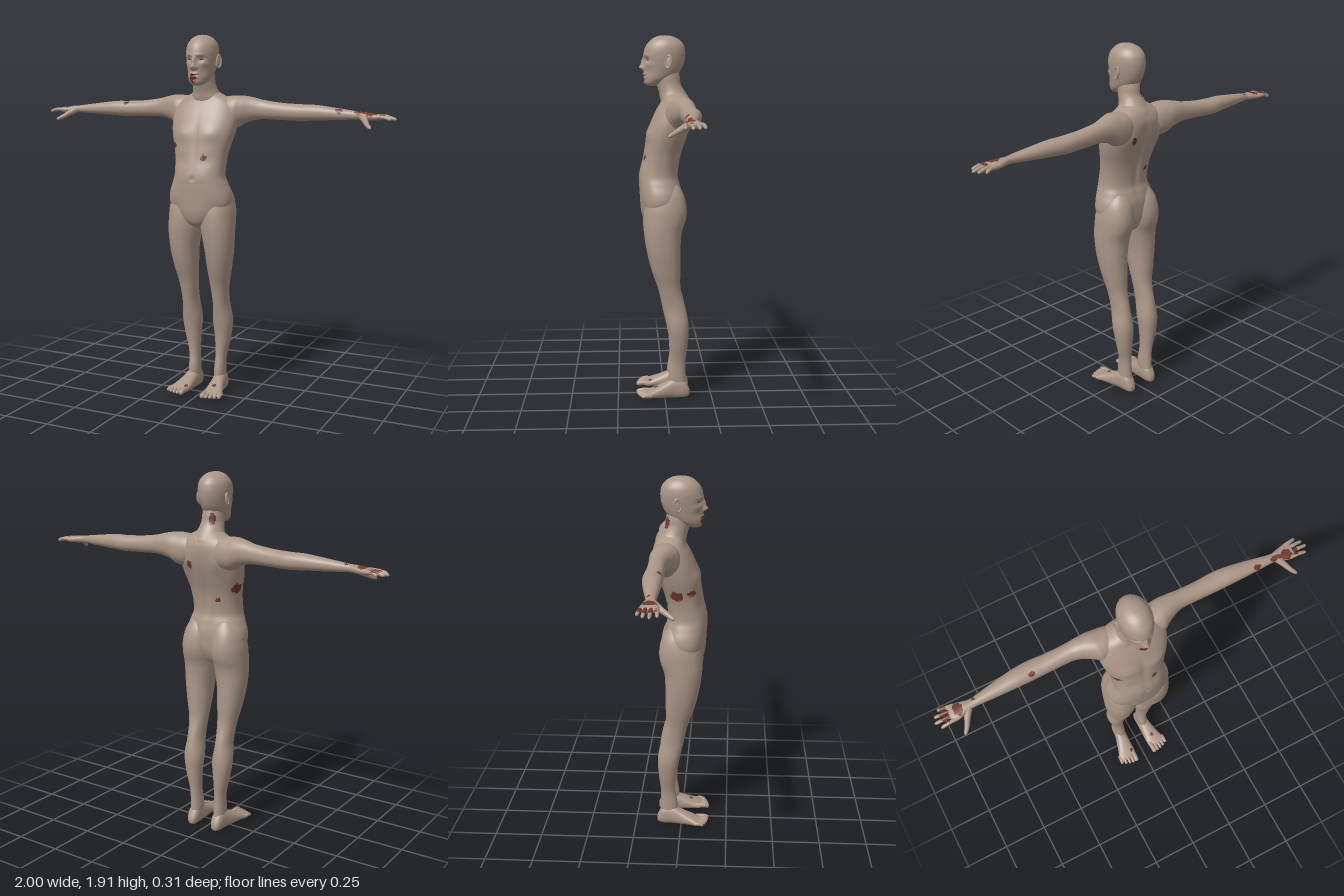
import * as THREE from 'three';

const skin = new THREE.MeshStandardMaterial({ name: 'skin', color: 0xab9687 });
const wound = new THREE.MeshStandardMaterial({ name: 'wound', color: 0x70382c });
const eyeDark = new THREE.MeshStandardMaterial({ name: 'eyeDark', color: 0x54443b });

const AXES = { x: [0, 1, 2, -1], y: [1, 0, 2, 1], z: [2, 0, 1, -1] };

// Smooth interpolation through the rows of a section list.
function sample(rows, t) {
  const f = t * (rows.length - 1), i = Math.min(Math.floor(f), rows.length - 2), u = f - i;
  const row = k => rows[Math.max(0, Math.min(rows.length - 1, k))];
  return rows[0].map((_, k) => {
    const [a, b, c, d] = [row(i - 1)[k], row(i)[k], row(i + 1)[k], row(i + 2)[k]];
    const m0 = (c - a) / 2, m1 = (d - b) / 2;
    return b + u * (m0 + u * (3 * (c - b) - 2 * m0 - m1 + u * (2 * (b - c) + m0 + m1)));
  });
}

// Skin over rounded cross-sections: rows are [position, min u, max u, min v, max v].
function loft(axis, rows, { around = 56, steps = 6, power = 2 } = {}) {
  const [w, u, v, sign] = AXES[axis], n = (rows.length - 1) * steps;
  const pos = [], index = [];
  const round = c => Math.sign(c) * Math.abs(c) ** (2 / power);
  for (let i = 0; i <= n; i++) {
    const [p, u0, u1, v0, v1] = sample(rows, i / n);
    for (let j = 0; j < around; j++) {
      const a = j / around * Math.PI * 2, q = [0, 0, 0];
      q[w] = p;
      q[u] = (u0 + u1) / 2 + (u1 - u0) / 2 * round(Math.cos(a));
      q[v] = (v0 + v1) / 2 + sign * (v1 - v0) / 2 * round(Math.sin(a));
      pos.push(...q);
      if (i < n) {
        const A = i * around + j, B = i * around + (j + 1) % around;
        index.push(A, A + around, B, B, A + around, B + around);
      }
    }
  }
  const g = new THREE.BufferGeometry();
  g.setAttribute('position', new THREE.Float32BufferAttribute(pos, 3));
  g.setIndex(index);
  g.computeVertexNormals();
  return g;
}

// Rows that are symmetric about x: [y, half width, back z, front z].
const sym = rows => rows.map(([y, x, z0, z1]) => [y, -x, x, z0, z1]);

// Mirrored soft bumps: [x, y, spread x, spread y, move z] on the front (side 1) or back (-1).
function sculpt(g, side, middle, bumps) {
  const p = g.attributes.position;
  for (let i = 0; i < p.count; i++) {
    const x = Math.abs(p.getX(i)), y = p.getY(i), z = p.getZ(i);
    const weight = THREE.MathUtils.smoothstep(side * (z - middle), 0, 0.04);
    let dz = 0;
    for (const [bx, by, sx, sy, d] of bumps) dz += d * Math.exp(-(((x - bx) / sx) ** 2) - ((y - by) / sy) ** 2);
    p.setZ(i, z + weight * dz);
  }
  g.computeVertexNormals();
  return g;
}

// Tapered round finger or toe along a path.
function digit(points, r0, r1) {
  const curve = new THREE.CatmullRomCurve3(points.map(p => new THREE.Vector3(...p)));
  const n = 20, sides = 14, g = new THREE.TubeGeometry(curve, n, 1, sides), p = g.attributes.position;
  const v = new THREE.Vector3();
  for (let i = 0; i <= n; i++) {
    const t = i / n, c = curve.getPointAt(t);
    const r = (r0 + (r1 - r0) * t) * Math.sqrt(Math.max(0, 1 - Math.max(0, (t - 0.85) / 0.15) ** 2));
    for (let j = 0; j <= sides; j++) {
      const k = i * (sides + 1) + j;
      v.fromBufferAttribute(p, k).sub(c).multiplyScalar(r).add(c);
      p.setXYZ(k, v.x, v.y, v.z);
    }
  }
  g.computeVertexNormals();
  return g;
}

// Flip to the other side, keeping faces outward.
function mirror(g) {
  g.scale(-1, 1, 1);
  const a = g.index.array;
  for (let i = 0; i < a.length; i += 3) [a[i], a[i + 1]] = [a[i + 1], a[i]];
  g.computeVertexNormals();
  return g;
}

// Wounds as ellipsoid regions: [x, y, z, radius x, radius y, radius z].
const WOUNDS = {
  torso: [[-0.13, 1.345, 0.05, 0.02, 0.014, 0.07], [-0.15, 1.33, -0.02, 0.04, 0.028, 0.035],
    [0.055, 1.29, 0.11, 0.016, 0.015, 0.05], [0.07, 1.45, -0.15, 0.015, 0.02, 0.05],
    [-0.063, 1.27, -0.08, 0.015, 0.014, 0.04]],
  neck: [[-0.03, 1.68, -0.085, 0.017, 0.032, 0.04]],
  head: [[-0.008, 1.692, 0.11, 0.021, 0.024, 0.04], [-0.03, 1.69, -0.085, 0.017, 0.03, 0.05]],
  rightArm: [[-0.872, 1.53, -0.09, 0.024, 0.022, 0.035], [-0.79, 1.535, -0.1, 0.009, 0.02, 0.009],
    [-0.5, 1.56, -0.075, 0.016, 0.03, 0.012]],
  leftArm: [[0.71, 1.545, -0.07, 0.018, 0.03, 0.015], [0.82, 1.535, -0.075, 0.036, 0.022, 0.016],
    [0.875, 1.53, -0.07, 0.03, 0.025, 0.03]],
  rightFinger: [[-0.945, 1.52, -0.1, 0.03, 0.013, 0.05]],
  leftFinger: [[0.92, 1.522, -0.075, 0.022, 0.014, 0.025]],
  rightFoot: [[-0.06, 0.06, 0.08, 0.012, 0.03, 0.012]],
  leftFoot: [[0.09, 0.08, 0.05, 0.012, 0.03, 0.013]],
};

function addPart(group, name, g) {
  const spots = WOUNDS[name], mesh = new THREE.Mesh(g, skin);
  mesh.name = name;
  if (spots) {
    const p = g.attributes.position, old = g.index.array, clean = [], red = [];
    for (let i = 0; i < old.length; i += 3) {
      const tri = [old[i], old[i + 1], old[i + 2]];
      const mid = ['getX', 'getY', 'getZ'].map(f => tri.reduce((s, k) => s + p[f](k), 0) / 3);
      const wobble = 1 + 0.2 * Math.sin(mid[0] * 230 + mid[1] * 310 + mid[2] * 190);
      const hit = spots.some(s => ((mid[0] - s[0]) / s[3]) ** 2 + ((mid[1] - s[1]) / s[4]) ** 2
        + ((mid[2] - s[2]) / s[5]) ** 2 < wobble);
      (hit ? red : clean).push(...tri);
    }
    g.setIndex([...clean, ...red]);
    g.addGroup(0, clean.length, 0);
    g.addGroup(clean.length, red.length, 1);
    mesh.material = [skin, wound];
  }
  group.add(mesh);
}

export function createModel() {
  const body = new THREE.Group();
  body.name = 'body';

  // Torso with chest, belly, shoulder blades and spine groove
  const torso = loft('y', sym([[0.91, 0.01, 0, 0.04], [0.925, 0.035, -0.04, 0.075], [0.95, 0.085, -0.065, 0.105],
    [1, 0.145, -0.085, 0.122], [1.05, 0.17, -0.09, 0.127], [1.1, 0.168, -0.09, 0.13], [1.15, 0.15, -0.08, 0.133],
    [1.2, 0.135, -0.07, 0.132], [1.3, 0.142, -0.085, 0.11], [1.4, 0.168, -0.118, 0.092], [1.47, 0.178, -0.138, 0.07],
    [1.53, 0.172, -0.146, 0.042], [1.57, 0.15, -0.138, 0.02], [1.6, 0.1, -0.12, 0.01], [1.63, 0.04, -0.09, -0.01],
    [1.64, 0, -0.05, -0.05]]), { around: 112, steps: 8, power: 2.3 });
  sculpt(torso, 1, 0, [[0.08, 1.41, 0.05, 0.035, 0.009], [0, 1.38, 0.012, 0.1, -0.006], [0, 1.18, 0.01, 0.012, -0.008],
    [0.07, 1.27, 0.04, 0.03, -0.005], [0.1, 1.02, 0.03, 0.05, -0.006]]);
  sculpt(torso, -1, -0.03, [[0, 1.34, 0.018, 0.15, 0.013], [0.09, 1.46, 0.04, 0.05, -0.008]]);
  addPart(body, 'torso', torso);

  addPart(body, 'neck', loft('y', sym([[1.54, 0.11, -0.14, 0], [1.58, 0.095, -0.135, 0.02], [1.62, 0.069, -0.11, 0.028],
    [1.66, 0.058, -0.086, 0.04], [1.7, 0.055, -0.08, 0.05], [1.74, 0.05, -0.07, 0.04]]), { steps: 10, around: 72 }));

  // Head with brow, sockets, nose, lips and chin
  const head = loft('y', sym([[1.652, 0, 0.06, 0.06], [1.657, 0.025, 0.035, 0.09], [1.668, 0.04, 0.01, 0.1],
    [1.685, 0.053, -0.03, 0.104], [1.705, 0.061, -0.06, 0.106], [1.735, 0.068, -0.085, 0.106],
    [1.77, 0.074, -0.1, 0.107], [1.8, 0.078, -0.106, 0.107], [1.83, 0.079, -0.107, 0.105], [1.86, 0.074, -0.1, 0.094],
    [1.885, 0.059, -0.08, 0.072], [1.9, 0.04, -0.056, 0.05], [1.908, 0.02, -0.03, 0.026], [1.91, 0, 0, 0]]),
  { around: 112, steps: 8 });
  sculpt(head, 1, 0.02, [[0.032, 1.785, 0.017, 0.014, -0.012], [0.03, 1.808, 0.025, 0.008, 0.004],
    [0, 1.775, 0.009, 0.022, 0.014], [0, 1.748, 0.012, 0.013, 0.022], [0.013, 1.744, 0.007, 0.008, 0.007],
    [0, 1.714, 0.02, 0.006, 0.007], [0, 1.706, 0.02, 0.004, -0.007], [0, 1.697, 0.018, 0.006, 0.006],
    [0, 1.672, 0.018, 0.01, 0.006], [0.045, 1.725, 0.015, 0.02, -0.005], [0.048, 1.762, 0.014, 0.012, 0.004]]);
  addPart(body, 'head', head);

  for (const s of [1, -1]) {
    const side = s > 0 ? 'left' : 'right';
    const add = (part, g) => addPart(body, side + part, s > 0 ? g : mirror(g));

    // Ear with rim, and eye slit
    const place = g => g.rotateY(-0.35).rotateX(-0.15).translate(0.079, 1.776, -0.018);
    add('Ear', place(new THREE.SphereGeometry(1, 20, 14).scale(0.007, 0.034, 0.02)));
    add('EarRim', place(new THREE.TorusGeometry(0.017, 0.004, 8, 28).scale(1, 1.8, 1).rotateY(Math.PI / 2).translate(0.006, 0, 0)));
    const eye = new THREE.Mesh(new THREE.SphereGeometry(1, 16, 10).scale(0.011, 0.0035, 0.004), eyeDark);
    eye.name = side + 'Eye';
    eye.position.set(s * 0.032, 1.786, 0.086);
    eye.rotation.y = s * 0.35;
    body.add(eye);

    // Arm running from the shoulder to the palm
    add('Arm', loft('x', [[0.04, 1.48, 1.57, -0.12, -0.06], [0.1, 1.44, 1.595, -0.143, -0.01],
      [0.16, 1.435, 1.602, -0.15, 0], [0.2, 1.458, 1.601, -0.15, -0.02], [0.25, 1.475, 1.592, -0.147, -0.045],
      [0.3, 1.482, 1.58, -0.145, -0.058], [0.4, 1.48, 1.567, -0.148, -0.06], [0.5, 1.478, 1.562, -0.155, -0.06],
      [0.58, 1.482, 1.56, -0.148, -0.06], [0.7, 1.488, 1.546, -0.13, -0.064], [0.8, 1.494, 1.533, -0.113, -0.068],
      [0.84, 1.492, 1.53, -0.12, -0.06], [0.88, 1.49, 1.526, -0.13, -0.048], [0.905, 1.492, 1.522, -0.132, -0.046],
      [0.918, 1.498, 1.516, -0.125, -0.055], [0.922, 1.507, 1.507, -0.09, -0.09]], { steps: 11, power: 2.2 }));

    // Fingers and thumb
    [[-0.122, -0.138, 0.962], [-0.101, -0.111, 0.988], [-0.079, -0.082, 0.998], [-0.057, -0.05, 0.978]].forEach(([z0, z1, tip]) =>
      add('Finger', digit([[0.89, 1.508, z0], [0.935, 1.509, (z0 + z1) / 2], [tip, 1.497, z1]], 0.0115, 0.0075)));
    add('Thumb', digit([[0.825, 1.51, -0.08], [0.85, 1.49, -0.045], [0.87, 1.472, -0.012], [0.895, 1.457, 0.018]], 0.019, 0.008));

    // Leg from ankle to buttock
    add('Leg', loft('y', [[0.03, 0.05, 0.1, -0.12, -0.05], [0.1, 0.045, 0.105, -0.112, -0.018],
      [0.2, 0.05, 0.108, -0.11, -0.03], [0.3, 0.046, 0.13, -0.12, -0.025], [0.4, 0.038, 0.143, -0.125, -0.008],
      [0.5, 0.048, 0.132, -0.108, 0.014], [0.6, 0.042, 0.14, -0.082, 0.036], [0.7, 0.034, 0.16, -0.08, 0.07],
      [0.8, 0.026, 0.175, -0.08, 0.095], [0.9, 0.01, 0.181, -0.086, 0.11], [0.97, 0.001, 0.18, -0.108, 0.112],
      [1.03, 0, 0.176, -0.112, 0.105], [1.1, 0.008, 0.158, -0.096, 0.085], [1.16, 0.03, 0.12, -0.06, 0.05]], { power: 2.15 }));

    // Foot and toes
    add('Foot', loft('z', [[-0.133, 0.075, 0.075, 0.03, 0.03], [-0.128, 0.057, 0.095, 0.01, 0.055],
      [-0.1, 0.045, 0.108, 0.001, 0.1], [-0.05, 0.045, 0.113, 0.001, 0.108], [0, 0.045, 0.125, 0.003, 0.086],
      [0.05, 0.045, 0.14, 0.008, 0.064], [0.085, 0.045, 0.152, 0.011, 0.05], [0.108, 0.05, 0.152, 0.014, 0.042],
      [0.118, 0.06, 0.145, 0.022, 0.032]], { power: 2.3, steps: 8 }));
    for (let k = 0; k < 5; k++) {
      const x = 0.06 + k * 0.0215, tip = 0.152 - k * k * 0.0016, r = k ? 0.0105 : 0.015;
      add('Toe', digit([[x, 0.032, 0.075], [x + 0.002, 0.034, tip - 0.025], [x + 0.003, 0.026, tip]], r, r * 0.85));
    }
  }
  return body;
}
